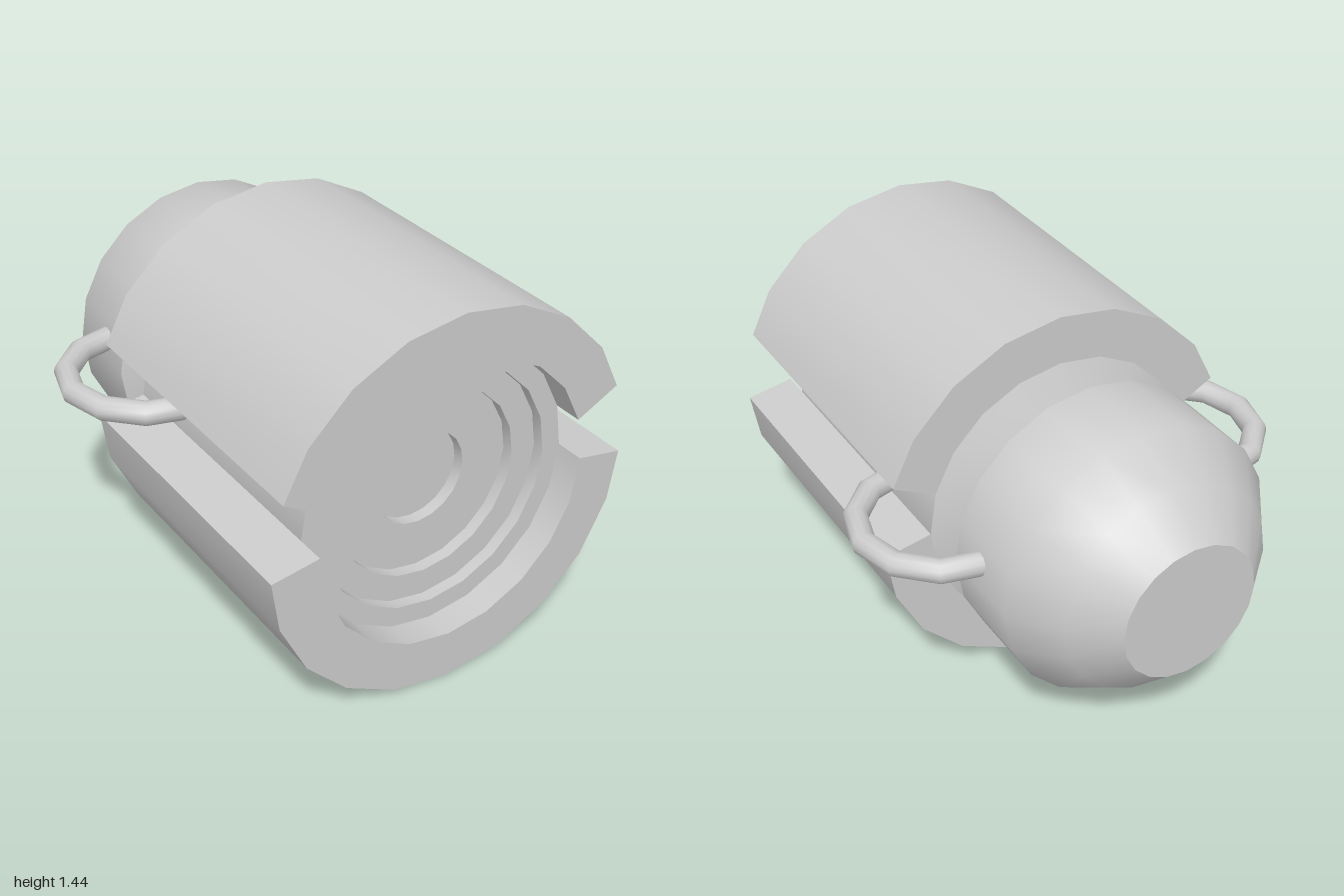
import * as THREE from 'three';
import { toCreasedNormals } from 'three/addons/utils/BufferGeometryUtils.js';

const SIDES = 20, AXIS_Y = 0.72, OUTER = 0.72, INNER = 0.535;
const CREASE = 0.7;

// Corner k of the 20-sided ring, counted clockwise from the top
const corner = (r, k) => {
  const a = (k / SIDES) * Math.PI * 2;
  return new THREE.Vector2(r * Math.sin(a), r * Math.cos(a));
};

// Arc of corners from k = a to k = b, in either direction
const arc = (r, a, b) => {
  const pts = [], step = Math.sign(b - a);
  for (let k = a; k !== b + step; k += step) pts.push(corner(r, k));
  return pts;
};

export function createModel() {
  const model = new THREE.Group();
  const material = new THREE.MeshStandardMaterial({ color: 0xcccccc });
  const add = (name, geometry) => {
    const mesh = new THREE.Mesh(geometry, material);
    mesh.name = name;
    mesh.position.y = AXIS_Y;
    model.add(mesh);
    return mesh;
  };

  // Core: domed back, neck, long barrel and a stepped recess at the front (radius, z)
  const profile = [
    [0, -1], [0.265, -1], [0.41, -0.865], [INNER, -0.695], [INNER, -0.365],
    [0.4, -0.315], [0.4, -0.24], [INNER, -0.185], [INNER, 0.89],
    [0.46, 0.89], [0.46, 0.845], [0.36, 0.845], [0.36, 0.8],
    [0.18, 0.8], [0.18, 0.755], [0, 0.755],
  ].map(([r, z]) => new THREE.Vector2(r, z));
  const core = new THREE.LatheGeometry(profile, SIDES).rotateX(Math.PI / 2);
  add('core', toCreasedNormals(core, CREASE));

  // Two thick shells around the barrel, leaving a slot on each side
  const addShell = (name, outline) => {
    const geometry = new THREE.ExtrudeGeometry(new THREE.Shape(outline), {
      depth: 1.185, bevelEnabled: false,
    }).translate(0, 0, -0.185);
    add(name, toCreasedNormals(geometry, CREASE));
  };
  addShell('upperShell', [
    new THREE.Vector2(-0.67, 0.25), ...arc(OUTER, -3, 3),
    new THREE.Vector2(0.67, 0.25), ...arc(INNER, 4, -4),
  ]);
  addShell('lowerShell', [
    new THREE.Vector2(0.715, -0.03), ...arc(OUTER, 6, 14),
    new THREE.Vector2(-0.715, -0.03), ...arc(INNER, 15, 5),
  ]);

  // Half-ring handles bridging the neck, from the slot to the dome
  for (const side of [1, -1]) {
    const ring = new THREE.TorusGeometry(0.305, 0.045, 12, 6, Math.PI)
      .rotateZ(-Math.PI / 2).rotateX(Math.PI / 2);
    if (side < 0) ring.rotateY(Math.PI);
    const handle = add(side > 0 ? 'leftHandle' : 'rightHandle', ring);
    handle.position.set(side * 0.495, AXIS_Y + 0.083, -0.205);
  }
  return model;
}
